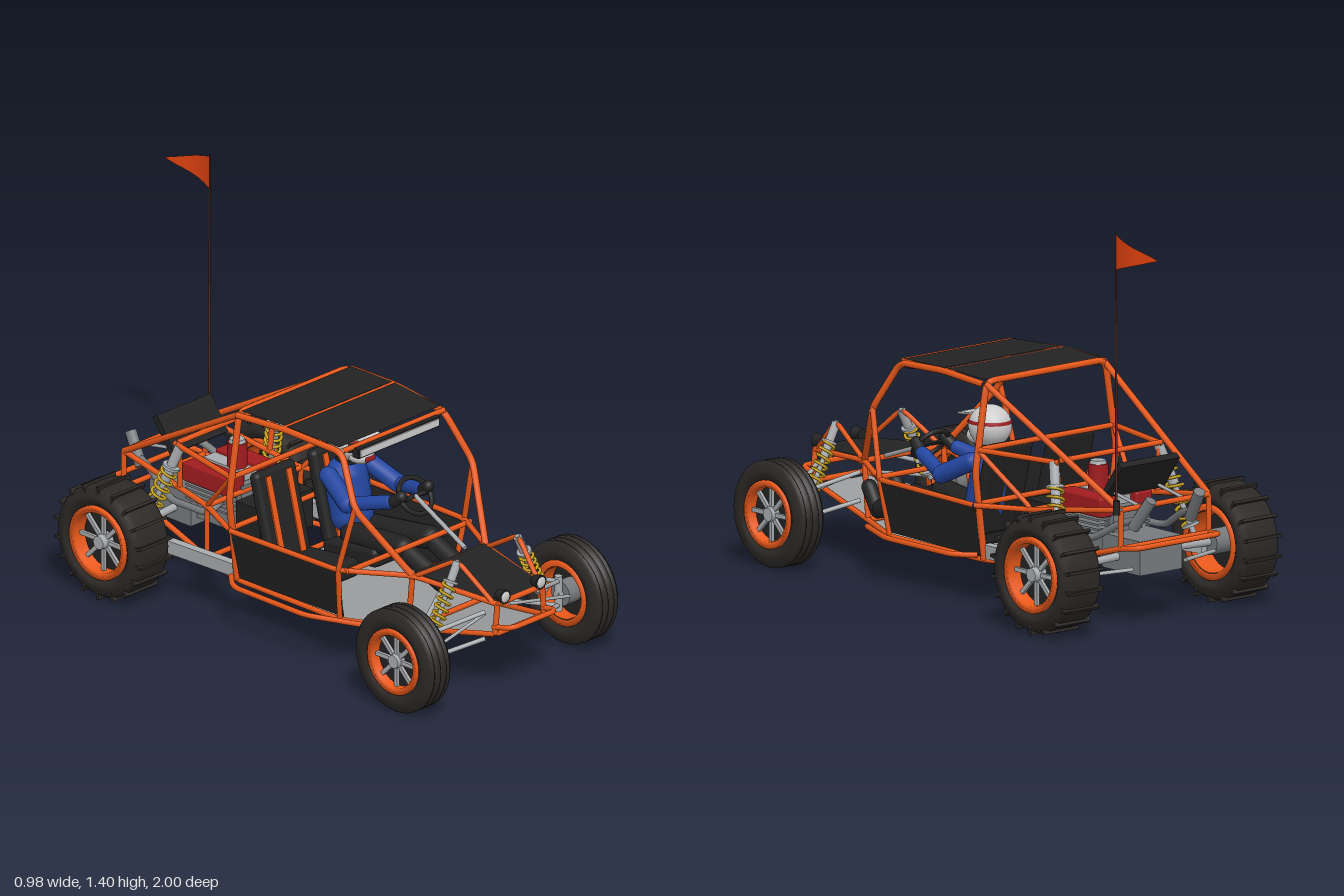
import * as THREE from 'three';
import { RoundedBoxGeometry } from 'three/addons/geometries/RoundedBoxGeometry.js';

const mat = (color, side = THREE.FrontSide) => new THREE.MeshStandardMaterial({ color, side });
const orange = mat(0xe8581a), black = mat(0x222222), rubber = mat(0x2b2826), silver = mat(0xa8abae), grey = mat(0x777a7d);
const red = mat(0xa01c1f), blue = mat(0x2346a0), white = mat(0xdedede), yellow = mat(0xc9a51c);
const panelMat = mat(0x222222, THREE.DoubleSide), plateMat = mat(0x9a9b9d, THREE.DoubleSide), flagMat = mat(0xe0420f, THREE.DoubleSide);
const V = (p) => new THREE.Vector3(...p);
const UP = new THREE.Vector3(0, 1, 0);

export function createModel() {
  const root = new THREE.Group();
  root.name = 'duneBuggy';

  const add = (name, geo, m, pos = [0, 0, 0], rot = [0, 0, 0], parent = root) => {
    const mesh = new THREE.Mesh(geo, m);
    mesh.name = name;
    mesh.position.set(...pos);
    mesh.rotation.set(...rot);
    parent.add(mesh);
    return mesh;
  };
  const box = (name, size, m, pos, rot, parent) => add(name, new THREE.BoxGeometry(...size), m, pos, rot, parent);
  const both = (fn) => [1, -1].forEach(fn);
  const mir = (pts, s) => pts.map(([x, y, z]) => [x * s, y, z]);

  // Bent tube: straight runs joined by rounded corners
  const pipe = (name, pts, r = 0.01, m = orange, bend = 0.035) => {
    const p = pts.map(V), path = new THREE.CurvePath();
    let from = p[0];
    for (let i = 1; i < p.length - 1; i++) {
      const cut = (q) => p[i].clone().lerp(q, Math.min(0.45, bend / p[i].distanceTo(q)));
      const a = cut(p[i - 1]), b = cut(p[i + 1]);
      path.add(new THREE.LineCurve3(from, a));
      path.add(new THREE.QuadraticBezierCurve3(a, p[i], b));
      from = b;
    }
    path.add(new THREE.LineCurve3(from, p[p.length - 1]));
    add(name, new THREE.TubeGeometry(path, p.length > 2 ? 14 * p.length : 1, r, 8), m);
  };
  // Solid bar or capsule limb from a to b
  const span = (name, a, b, geoOf, m) => {
    const A = V(a), B = V(b), d = B.clone().sub(A);
    const mesh = add(name, geoOf(d.length()), m, A.clone().lerp(B, 0.5).toArray());
    mesh.quaternion.setFromUnitVectors(UP, d.normalize());
    return mesh;
  };
  const rod = (name, a, b, r, m = silver, r2 = r) => span(name, a, b, (l) => new THREE.CylinderGeometry(r2, r, l, 12), m);
  const limb = (name, a, b, r, m) => span(name, a, b, (l) => new THREE.CapsuleGeometry(r, l, 5, 12), m);
  // Flat sheet through a convex ring of corners
  const sheet = (name, pts, m = panelMat) => {
    const g = new THREE.BufferGeometry();
    g.setAttribute('position', new THREE.Float32BufferAttribute(pts.flat(), 3));
    g.setIndex(pts.slice(2).flatMap((_, i) => [0, i + 1, i + 2]));
    add(name, g.toNonIndexed(), m).geometry.computeVertexNormals();
  };

  // Roll cage and chassis sides
  both((s) => {
    const rail = (name, pts, r) => pipe(name, mir(pts, s), r);
    rail('upperRail', [[0.11, 0.345, 0.92], [0.18, 0.37, 0.58], [0.31, 0.36, 0.35], [0.32, 0.355, -0.16]]);
    rail('lowerRail', [[0.12, 0.235, 0.92], [0.18, 0.165, 0.56], [0.28, 0.16, 0.33], [0.28, 0.158, -0.16], [0.23, 0.165, -0.36], [0.2, 0.29, -0.79]]);
    rail('frontPillar', [[0.18, 0.37, 0.58], [0.29, 0.6, 0.41], [0.25, 0.77, 0.31], [0.27, 0.785, 0.06], [0.28, 0.775, -0.165]], 0.012);
    rail('doorPillar', [[0.29, 0.6, 0.41], [0.31, 0.36, 0.35], [0.28, 0.16, 0.33]]);
    rail('nosePost', [[0.11, 0.345, 0.92], [0.12, 0.235, 0.92]]);
    rail('footwellPost', [[0.18, 0.37, 0.58], [0.18, 0.165, 0.56]]);
    rail('rearStay', [[0.27, 0.775, -0.165], [0.24, 0.55, -0.5], [0.2, 0.425, -0.79]].filter((_, i) => i !== 1), 0.011);
    rail('shoulderRail', [[0.31, 0.55, -0.165], [0.235, 0.55, -0.51]]);
    rail('engineRail', [[0.32, 0.355, -0.16], [0.23, 0.36, -0.36], [0.2, 0.425, -0.79]]);
    rail('engineBrace', [[0.31, 0.55, -0.165], [0.23, 0.36, -0.36], [0.23, 0.165, -0.36]], 0.009);
    rail('shockPost', [[0.235, 0.56, -0.49], [0.22, 0.38, -0.5]]);
    rail('rearPost', [[0.2, 0.425, -0.79], [0.2, 0.29, -0.79]]);
    rail('nerfBar', [[0.31, 0.18, -0.165], [0.37, 0.18, -0.1], [0.37, 0.18, 0.25], [0.28, 0.175, 0.45]]);
    rail('shockTower', [[0.115, 0.35, 0.9], [0.15, 0.475, 0.765], [0.175, 0.37, 0.59]], 0.009);
    sheet('sidePanel', mir([[0.312, 0.35, 0.35], [0.318, 0.35, -0.16], [0.28, 0.165, -0.16], [0.28, 0.175, 0.35]], s));
  });
  pipe('mainHoop', [[-0.28, 0.16, -0.165], [-0.32, 0.47, -0.165], [-0.27, 0.785, -0.165], [0.27, 0.785, -0.165], [0.32, 0.47, -0.165], [0.28, 0.16, -0.165]], 0.012);
  pipe('frontBumper', [[-0.12, 0.26, 0.91], [-0.11, 0.275, 0.99], [0.11, 0.275, 0.99], [0.12, 0.26, 0.91]]);
  pipe('rearBumper', [[-0.2, 0.29, -0.79], [-0.19, 0.3, -0.865], [0.19, 0.3, -0.865], [0.2, 0.29, -0.79]]);
  // Cross bars as half width, height, depth
  [[0.25, 0.775, 0.31], [0.27, 0.787, 0.05], [0.31, 0.36, 0.38], [0.11, 0.345, 0.92], [0.12, 0.235, 0.92], [0.18, 0.165, 0.56],
    [0.18, 0.37, 0.58], [0.31, 0.55, -0.165], [0.32, 0.36, -0.165], [0.28, 0.16, -0.165], [0.23, 0.165, -0.36], [0.23, 0.36, -0.36],
    [0.235, 0.555, -0.5], [0.2, 0.425, -0.79], [0.2, 0.29, -0.79]]
    .forEach(([x, y, z]) => pipe('crossBar', [[-x, y, z], [x, y, z]]));

  // Panels
  sheet('floorPan', [[-0.12, 0.225, 0.9], [-0.18, 0.155, 0.56], [0.18, 0.155, 0.56], [0.12, 0.225, 0.9]], plateMat);
  sheet('floorPan', [[-0.18, 0.155, 0.56], [-0.28, 0.152, 0.33], [-0.28, 0.15, -0.16], [0.28, 0.15, -0.16], [0.28, 0.152, 0.33], [0.18, 0.155, 0.56]], plateMat);
  sheet('nosePanel', [[-0.11, 0.356, 0.92], [0.11, 0.356, 0.92], [0.175, 0.38, 0.58], [-0.175, 0.38, 0.58]]);
  sheet('roofPanel', [[-0.25, 0.786, 0.295], [0.25, 0.786, 0.295], [0.265, 0.796, 0.06], [-0.265, 0.796, 0.06]]);
  sheet('roofPanel', [[-0.265, 0.796, 0.045], [0.265, 0.796, 0.045], [0.27, 0.79, -0.155], [-0.27, 0.79, -0.155]]);

  // Lights
  box('lightBar', [0.4, 0.036, 0.03], black, [0, 0.757, 0.325]);
  box('lightBarLens', [0.385, 0.026, 0.006], white, [0, 0.757, 0.342]);
  both((s) => {
    add('headlight', new THREE.CylinderGeometry(0.026, 0.019, 0.035, 20), black, [0.088 * s, 0.37, 0.92], [Math.PI / 2, 0, 0]);
    add('headlightLens', new THREE.SphereGeometry(0.023, 16, 8), white, [0.088 * s, 0.37, 0.933]).scale.z = 0.45;
  });

  // Wheels, built with the axle along +x
  const wheel = (name, s, x, y, z, R, w, rim, paddles) => {
    const g = new THREE.Group();
    g.name = name;
    g.position.set(x * s, y, z);
    g.rotation.y = s > 0 ? 0 : Math.PI;
    root.add(g);
    const spin = [0, 0, -Math.PI / 2];
    const lathe = (n, pts, m) => add(n, new THREE.LatheGeometry(pts.map((p) => new THREE.Vector2(...p)), 40), m, [0, 0, 0], spin, g);
    const h = w / 2, tread = [];
    if (!paddles) [-0.5, 0, 0.5].forEach((t) => tread.push([R, (t - 0.12) * h], [R - 0.008, (t - 0.07) * h], [R - 0.008, (t + 0.07) * h], [R, (t + 0.12) * h]));
    lathe('tyre', [[rim, -h * 0.8], [rim + 0.02, -h], [R - 0.035, -h], [R - 0.01, -h * 0.88], [R, -h * 0.68], ...tread,
      [R, h * 0.68], [R - 0.01, h * 0.88], [R - 0.035, h], [rim + 0.02, h], [rim, h * 0.8], [rim, -h * 0.8]], rubber);
    lathe('rimRing', [[rim - 0.022, -h * 0.85], [rim + 0.002, -h * 0.9], [rim + 0.002, h * 0.95], [rim - 0.022, h * 0.9], [rim - 0.024, -h * 0.85]], orange);
    add('wheelDisc', new THREE.CylinderGeometry(rim - 0.02, rim - 0.02, 0.012, 32), black, [h * 0.25, 0, 0], spin, g);
    add('hub', new THREE.CylinderGeometry(0.024, 0.032, h * 0.75, 16), silver, [h * 0.5, 0, 0], spin, g);
    add('brakeDrum', new THREE.CylinderGeometry(0.045, 0.045, h, 20), grey, [-h * 0.4, 0, 0], spin, g);
    for (let i = 0; i < 8; i++) {
      const a = (i * Math.PI) / 4, r = rim * 0.47;
      box('spoke', [0.012, rim * 0.78, 0.015], silver, [h * 0.55, r * Math.cos(a), r * Math.sin(a)], [a, 0, 0], g);
    }
    for (let i = 0; i < paddles; i++) {
      const a = (i / paddles) * Math.PI * 2, r = R - 0.006;
      box('treadPaddle', [w * 0.93, 0.03, 0.011], rubber, [0, r * Math.cos(a), r * Math.sin(a)], [a, 0, 0], g);
    }
  };
  // Shock absorber with a coil spring
  const shock = (top, bottom, r) => {
    const T = V(top), B = V(bottom), at = (t) => B.clone().lerp(T, t).toArray();
    rod('shockRod', bottom, top, r * 0.35);
    rod('shockBody', at(0.55), at(0.98), r * 0.65);
    [0.1, 0.72].forEach((t) => rod('springSeat', at(t), at(t + 0.03), r * 1.15));
    const q = new THREE.Quaternion().setFromUnitVectors(UP, T.clone().sub(B).normalize()), len = T.distanceTo(B), coil = [];
    for (let i = 0; i <= 84; i++) {
      const a = (i / 12) * Math.PI * 2;
      coil.push(new THREE.Vector3(r * Math.cos(a), len * (0.12 + (0.6 * i) / 84), r * Math.sin(a)).applyQuaternion(q).add(B));
    }
    add('coilSpring', new THREE.TubeGeometry(new THREE.CatmullRomCurve3(coil), 140, 0.0055, 6), yellow);
  };
  both((s) => {
    wheel('frontWheel', s, 0.412, 0.19, 0.763, 0.188, 0.115, 0.118, 0);
    wheel('rearWheel', s, 0.405, 0.212, -0.64, 0.202, 0.17, 0.132, 18);
    const bar = (name, a, b, r, m) => rod(name, ...mir([a, b], s), r, m);
    // Front suspension and steering links
    [[0.21, 0.15], [0.31, 0.24]].forEach(([y, yo]) => [0.88, 0.66].forEach((z) => bar('controlArm', [0.13, y, z], [0.35, yo, 0.763], 0.008)));
    bar('steeringKnuckle', [0.35, 0.13, 0.763], [0.35, 0.26, 0.763], 0.014);
    bar('frontSpindle', [0.34, 0.19, 0.763], [0.4, 0.19, 0.763], 0.015);
    bar('tieRod', [0.06, 0.26, 0.81], [0.35, 0.2, 0.815], 0.006);
    shock(...mir([[0.145, 0.475, 0.765], [0.28, 0.21, 0.763]], s), 0.024);
    // Rear suspension and drive shafts
    const arm = span('trailingArm', ...mir([[0.27, 0.19, -0.17], [0.31, 0.2, -0.64]], s), (l) => new THREE.BoxGeometry(0.028, l, 0.05), silver);
    arm.up.copy(UP);
    bar('driveShaft', [0.08, 0.225, -0.65], [0.36, 0.212, -0.64], 0.014);
    bar('rearLink', [0.12, 0.2, -0.76], [0.32, 0.19, -0.68], 0.007);
    shock(...mir([[0.235, 0.555, -0.48], [0.31, 0.23, -0.59]], s), 0.028);
    // Exhaust
    pipe('exhaustHeader', mir([[0.1, 0.34, -0.4], [0.16, 0.29, -0.42], [0.165, 0.29, -0.6], [0.14, 0.36, -0.72], [0.125, 0.38, -0.79]], s), 0.013, grey);
    rod('muffler', ...mir([[0.13, 0.35, -0.775], [0.11, 0.455, -0.845]], s), 0.021, grey);
    // Cylinder banks
    add('cylinderBank', new RoundedBoxGeometry(0.075, 0.07, 0.23, 2, 0.008), red, [0.082 * s, 0.385, -0.475]);
    for (let i = 0; i < 4; i++) box('coolingFin', [0.08, 0.008, 0.2], grey, [0.078 * s, 0.29 + i * 0.017, -0.475]);
  });

  // Engine, gearbox, tank and radiator
  box('engineBlock', [0.13, 0.18, 0.24], grey, [0, 0.29, -0.475]);
  box('intakeManifold', [0.06, 0.03, 0.2], silver, [0, 0.4, -0.475]);
  box('gearbox', [0.19, 0.12, 0.2], grey, [0, 0.235, -0.67]);
  add('airFilter', new THREE.CylinderGeometry(0.035, 0.035, 0.09, 24), red, [0, 0.46, -0.44]);
  add('airFilterCap', new THREE.CylinderGeometry(0.026, 0.03, 0.012, 24), silver, [0, 0.511, -0.44]);
  box('fuelTank', [0.26, 0.14, 0.115], black, [0, 0.29, -0.26]);
  box('radiator', [0.265, 0.145, 0.025], black, [0, 0.5, -0.665], [-0.62, 0, 0]);
  both((s) => rod('radiatorBracket', [0.1 * s, 0.45, -0.63], [0.1 * s, 0.42, -0.79], 0.006));

  // Seats with harness straps
  both((s) => {
    const x = 0.14 * s;
    add('seatBase', new RoundedBoxGeometry(0.21, 0.07, 0.26, 2, 0.02), black, [x, 0.225, 0.06], [-0.12, 0, 0]);
    add('seatBack', new RoundedBoxGeometry(0.2, 0.34, 0.045, 2, 0.02), black, [x, 0.385, -0.095], [-0.25, 0, 0]);
    [-0.05, 0.05].forEach((o) => box('harnessStrap', [0.025, 0.3, 0.006], orange, [x + o, 0.39, -0.068], [-0.25, 0, 0]));
  });

  // Steering wheel and column
  const sx = 0.145, wheelTilt = [-0.7, 0, 0];
  add('steeringWheel', new THREE.TorusGeometry(0.068, 0.009, 8, 28), black, [sx, 0.475, 0.275], wheelTilt);
  box('steeringSpoke', [0.13, 0.016, 0.008], black, [sx, 0.475, 0.275], wheelTilt);
  rod('steeringColumn', [sx, 0.475, 0.275], [0.1, 0.38, 0.56], 0.008);

  // Driver
  limb('torso', [sx, 0.32, -0.03], [sx, 0.45, -0.06], 0.072, blue).scale.x = 1.2;
  both((s) => {
    const x = (d) => sx + d * s;
    limb('upperArm', [x(0.095), 0.48, -0.05], [x(0.125), 0.42, 0.07], 0.033, blue);
    limb('forearm', [x(0.125), 0.42, 0.07], [x(0.078), 0.46, 0.225], 0.025, blue);
    limb('glove', [x(0.074), 0.465, 0.24], [x(0.066), 0.49, 0.272], 0.022, black);
    limb('thigh', [x(0.05), 0.27, 0.02], [x(0.065), 0.3, 0.28], 0.043, black);
    limb('shin', [x(0.065), 0.3, 0.28], [x(0.06), 0.225, 0.46], 0.034, black);
    limb('boot', [x(0.06), 0.215, 0.48], [x(0.06), 0.29, 0.525], 0.028, black);
  });
  rod('neck', [sx, 0.49, -0.06], [sx, 0.56, -0.04], 0.04, black);
  add('helmetShell', new THREE.SphereGeometry(0.074, 28, 20), white, [sx, 0.592, -0.04]).scale.z = 1.06;
  add('helmetChin', new THREE.SphereGeometry(0.05, 20, 14), white, [sx, 0.55, 0.012]).scale.set(0.95, 0.62, 1);
  add('chinVent', new RoundedBoxGeometry(0.045, 0.018, 0.01, 2, 0.004), red, [sx, 0.548, 0.059]);
  add('visor', new THREE.SphereGeometry(0.0765, 24, 8, 0.25 * Math.PI - 0.15, 0.5 * Math.PI + 0.3, 1.3, 0.5), black, [sx, 0.59, -0.038]).scale.z = 1.08;
  add('helmetStripe', new THREE.SphereGeometry(0.0762, 32, 3, 0, Math.PI * 2, 1.28, 0.16), red, [sx, 0.594, -0.04]).scale.z = 1.06;
  add('helmetPeak', new RoundedBoxGeometry(0.1, 0.008, 0.06, 2, 0.003), white, [sx, 0.628, 0.045], [0.12, 0, 0]);

  // Flag on its whip pole
  rod('flagMount', [0.215, 0.41, -0.785], [0.215, 0.46, -0.785], 0.012, black);
  rod('flagPole', [0.215, 0.43, -0.785], [0.22, 1.405, -0.787], 0.0045, mat(0x5a2c20), 0.003);
  const flag = new THREE.PlaneGeometry(1, 1, 12, 2), fp = flag.attributes.position;
  for (let i = 0; i < fp.count; i++) {
    const t = fp.getX(i) + 0.5;
    fp.setXYZ(i, 0.22 + 0.012 * Math.sin(t * 4.6), 1.337 + fp.getY(i) * 0.125 * (1 - t), -0.787 - 0.21 * t);
  }
  flag.computeVertexNormals();
  add('flag', flag, flagMat);

  return root;
}
